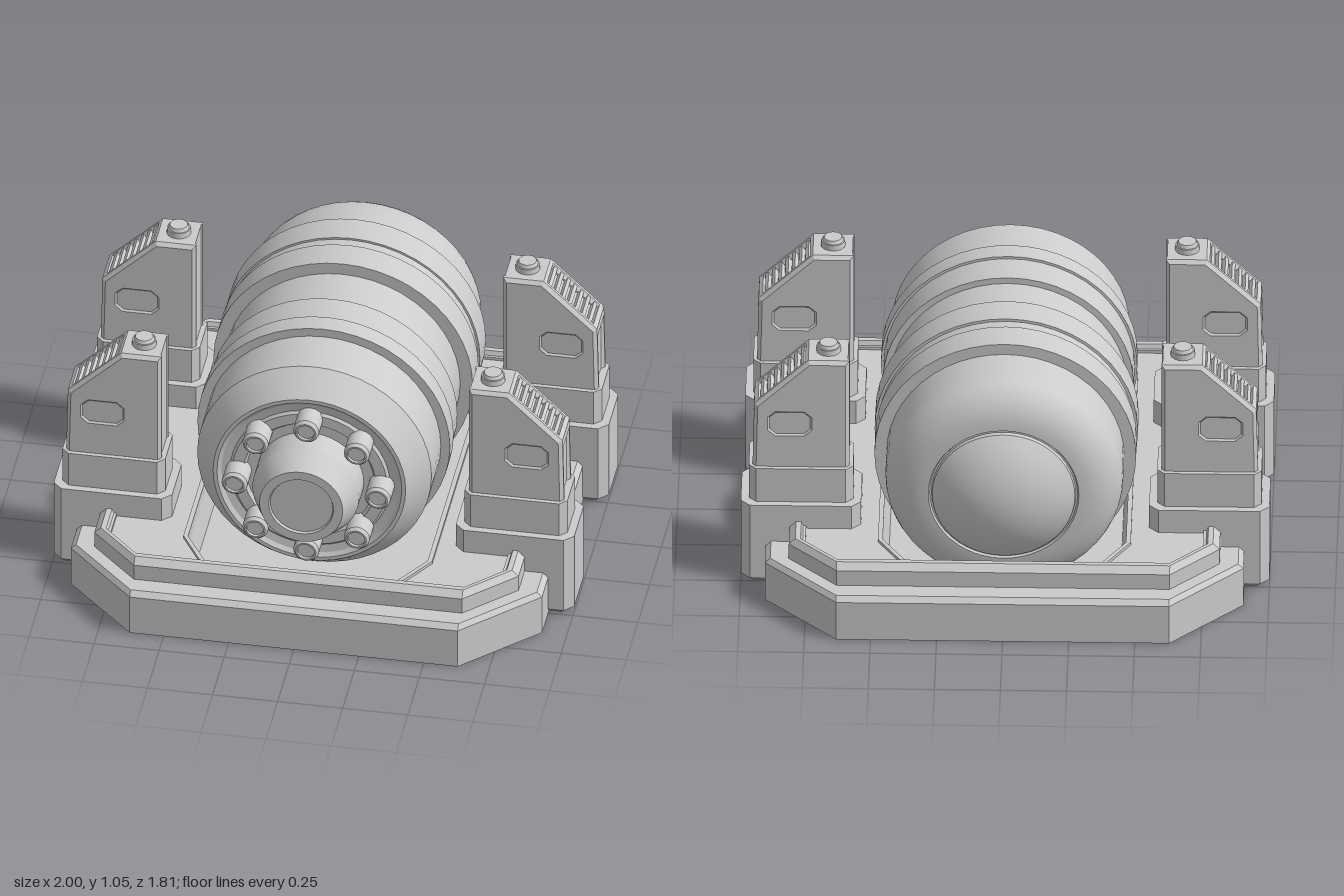
import * as THREE from 'three';
import { toCreasedNormals } from 'three/addons/utils/BufferGeometryUtils.js';

const grey = new THREE.MeshStandardMaterial({ color: 0xcccccc });
const greyOpen = new THREE.MeshStandardMaterial({ color: 0xcccccc, side: THREE.DoubleSide });

function add(parent, name, geometry, x = 0, y = 0, z = 0, material = grey) {
  const mesh = new THREE.Mesh(geometry, material);
  mesh.name = name;
  mesh.position.set(x, y, z);
  parent.add(mesh);
  return mesh;
}

// Flat-shaded loft through cut-corner rectangles: [halfX, halfZ, cut, y]
function loft(rings, { closed = false, bottom = !closed } = {}) {
  const pos = [], idx = [], n = rings.length;
  for (const [a, b, c, y] of rings) {
    const pts = [[a, -b + c], [a, b - c], [a - c, b], [c - a, b], [-a, b - c], [-a, c - b], [c - a, -b], [a - c, -b]];
    for (const [x, z] of pts) pos.push(x, y, z);
  }
  for (let i = 0; i < (closed ? n : n - 1); i++) {
    for (let j = 0; j < 8; j++) {
      const k = (j + 1) % 8, u = ((i + 1) % n) * 8;
      idx.push(i * 8 + j, u + j, i * 8 + k, i * 8 + k, u + j, u + k);
    }
  }
  const t = (n - 1) * 8;
  for (let j = 1; j < 7; j++) {
    if (bottom) idx.push(0, j, j + 1);
    if (!closed) idx.push(t, t + j + 1, t + j);
  }
  const g = new THREE.BufferGeometry();
  g.setAttribute('position', new THREE.Float32BufferAttribute(pos, 3));
  g.setIndex(idx);
  const flat = g.toNonIndexed();
  flat.computeVertexNormals();
  return flat;
}

const toShape = (pts) => new THREE.Shape(pts.map(([x, y]) => new THREE.Vector2(x, y)));

// Extrusion whose chamfer stays inside the given outline and depth
function extrude(shape, depth, bevel = 0) {
  const g = new THREE.ExtrudeGeometry(shape, {
    depth: depth - 2 * bevel, bevelEnabled: bevel > 0, bevelSize: bevel,
    bevelThickness: bevel, bevelOffset: -bevel, bevelSegments: 1,
  });
  return g.translate(0, 0, bevel);
}

function createBase() {
  const base = new THREE.Group();
  base.name = 'base';
  // Stepped octagonal rim, a thin shell that is hollow underneath
  const rim = [[0.905, 0], [0.905, 0.165], [0.885, 0.185], [0.815, 0.185], [0.815, 0.25], [0.79, 0.275],
    [0.77, 0.275], [0.76, 0.25], [0.76, 0.21], [0.8, 0.21], [0.8, 0.17], [0.89, 0.17], [0.898, 0]];
  add(base, 'rim', loft(rim.map(([h, y]) => [h, h, h - 0.63, y]), { closed: true }));
  // Trough under the tank, hanging below the decks
  add(base, 'trough', loft([[0.455, 0.735, 0.155, 0.075], [0.48, 0.765, 0.13, 0.235],
    [0.465, 0.755, 0.13, 0.235], [0.44, 0.725, 0.155, 0.09]]));

  // Side decks with a raised border
  const outline = (d) => [[0.46 + d, -0.6], [0.355 + d * 1.7, -0.77 + d], [0.64 - d * 0.4, -0.77 + d],
    [0.77 - d, -0.635 + d * 0.4], [0.77 - d, 0.635 - d * 0.4], [0.64 - d * 0.4, 0.77 - d],
    [0.355 + d * 1.7, 0.77 - d], [0.46 + d, 0.6]];
  for (const turn of [0, Math.PI]) {
    const deck = new THREE.Group();
    deck.name = 'sideDeck';
    deck.rotation.y = turn;
    add(deck, 'deckPlate', extrude(toShape(outline(0)), 0.035).rotateX(-Math.PI / 2), 0, 0.21, 0);
    const border = toShape(outline(0));
    border.holes.push(toShape(outline(0.018)));
    add(deck, 'deckBorder', extrude(border, 0.012).rotateX(-Math.PI / 2), 0, 0.245, 0);
    base.add(deck);
  }
  return base;
}

function createTank() {
  const tank = new THREE.Group();
  tank.name = 'tank';
  tank.position.y = 0.55;
  const profile = [];
  // Rear dome and the groove around it
  const R = 0.4, sweep = Math.asin(0.27 / R);
  for (let i = 0; i <= 8; i++) {
    const a = (sweep * i) / 8;
    profile.push([R * Math.sin(a), -0.845 + R * (1 - Math.cos(a))]);
  }
  profile.push([0.273, -0.725], [0.28, -0.725]);
  // Rounded rear shoulder
  for (let i = 0; i <= 8; i++) {
    const a = (Math.PI / 2) * (i / 8);
    profile.push([0.285 + 0.165 * Math.sin(a), -0.6 - 0.135 * Math.cos(a)]);
  }
  // Banded barrel, front cone, recessed flange and dished nozzle
  profile.push([0.45, -0.455], [0.495, -0.455], [0.495, -0.33], [0.487, -0.33], [0.487, -0.28], [0.498, -0.28],
    [0.498, -0.155], [0.45, -0.155], [0.45, 0.045], [0.475, 0.045], [0.475, 0.18], [0.485, 0.18], [0.485, 0.26],
    [0.45, 0.26], [0.45, 0.46], [0.37, 0.567], [0.355, 0.567], [0.34, 0.555], [0.308, 0.55], [0.298, 0.56],
    [0.255, 0.56], [0.245, 0.545], [0.205, 0.545], [0.205, 0.645], [0.16, 0.745], [0.124, 0.745], [0.12, 0.735], [0, 0.735]);
  const body = new THREE.LatheGeometry(profile.map(([r, z]) => new THREE.Vector2(r, z)), 48);
  add(tank, 'tankBody', toCreasedNormals(body.rotateX(Math.PI / 2), 0.42));

  // Ring of flange bolts
  const boltProfile = [[0.05, 0.54], [0.05, 0.637], [0.04, 0.65], [0.033, 0.65], [0.033, 0.637], [0, 0.637]];
  const bolt = toCreasedNormals(new THREE.LatheGeometry(
    boltProfile.map(([r, z]) => new THREE.Vector2(r, z)), 16).rotateX(Math.PI / 2), 0.5);
  for (let i = 0; i < 8; i++) {
    const a = (i * Math.PI) / 4;
    add(tank, 'flangeBolt', bolt, 0.275 * Math.cos(a), 0.275 * Math.sin(a), 0);
  }
  return tank;
}

// Post built on the +x side, its outer face towards +x
function createPost() {
  const post = new THREE.Group();
  post.name = 'post';
  // Foot is a hollow shoe, open below
  add(post, 'foot', loft([[0.21, 0.115, 0.03, 0], [0.2275, 0.135, 0.035, 0.02], [0.2275, 0.135, 0.035, 0.345]],
    { bottom: false }), 0.7725, 0, 0, greyOpen);
  add(post, 'sleeve', loft([[0.1975, 0.107, 0.028, 0.345], [0.1975, 0.107, 0.028, 0.492]]), 0.7725);

  // Core, stepped back behind the vent and the outer panel
  const core = [[0.595, 0.48], [0.595, 0.96], [0.745, 0.96], [0.757, 0.949], [0.743, 0.934], [0.921, 0.765],
    [0.935, 0.779], [0.95, 0.765], [0.952, 0.73], [0.942, 0.72], [0.942, 0.48]];
  add(post, 'postCore', extrude(toShape(core), 0.14), 0, 0, -0.07);

  // Chamfered cheeks, each with a shallow elongated recess
  const cheek = toShape([[0.59, 0.45], [0.59, 0.96], [0.745, 0.96], [0.95, 0.765], [0.957, 0.45]]);
  const slot = [[-0.07, -0.022], [-0.05, -0.04], [0.05, -0.04], [0.07, -0.022],
    [0.07, 0.022], [0.05, 0.04], [-0.05, 0.04], [-0.07, 0.022]];
  cheek.holes.push(toShape(slot.map(([x, y]) => [x + 0.815, y + 0.683])));
  for (const z of [-0.09, 0.05]) add(post, 'postCheek', extrude(cheek, 0.04, 0.014), 0, 0, z);
  add(post, 'recessFloor', new THREE.BoxGeometry(0.18, 0.12, 0.166), 0.815, 0.683, 0);

  // Vent slats down the sloping face
  for (let i = 0; i < 7; i++) {
    const t = (i + 0.5) / 7;
    const slat = add(post, 'ventSlat', new THREE.BoxGeometry(0.016, 0.03, 0.13),
      0.745 + 0.178 * t, 0.935 - 0.169 * t, 0);
    slat.rotation.z = -Math.PI / 4;
  }
  // Stud on top
  add(post, 'studBase', new THREE.CylinderGeometry(0.045, 0.047, 0.025, 16), 0.67, 0.97, 0);
  add(post, 'studCap', new THREE.CylinderGeometry(0.034, 0.04, 0.014, 16), 0.67, 0.989, 0);
  return post;
}

export function createModel() {
  const model = new THREE.Group();
  model.name = 'tankOnCradle';
  model.add(createBase(), createTank());
  for (const turn of [0, Math.PI]) {
    for (const z of [0.367, -0.375]) {
      const post = createPost();
      post.rotation.y = turn;
      post.position.z = z;
      model.add(post);
    }
  }
  return model;
}
